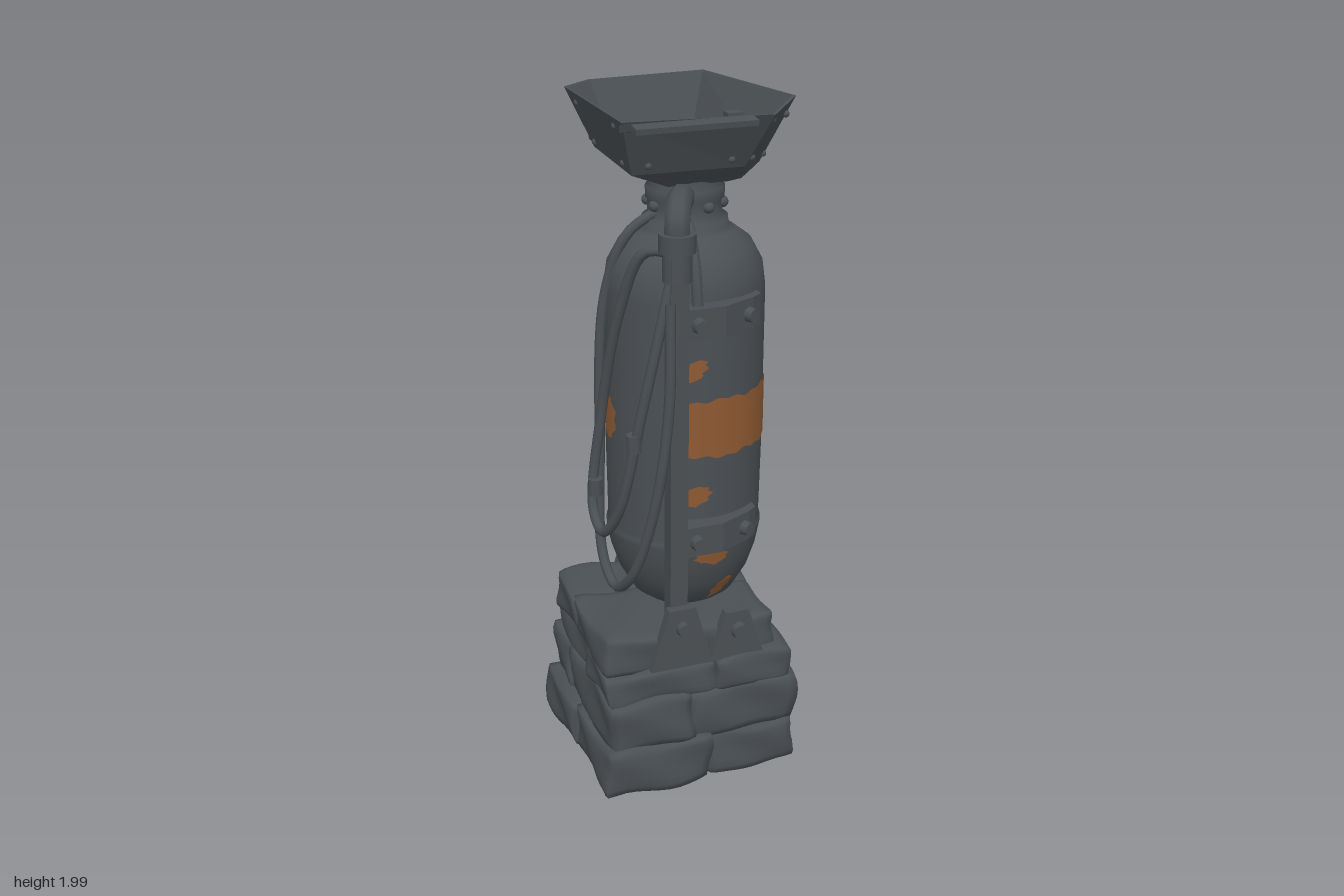
import * as THREE from 'three';
import { mergeVertices } from 'three/addons/utils/BufferGeometryUtils.js';

const grey = new THREE.MeshStandardMaterial({ color: 0x4b5054, side: THREE.DoubleSide });
grey.name = 'dark grey';
const rust = new THREE.MeshStandardMaterial({ color: 0x8e5a33, side: THREE.DoubleSide });
rust.name = 'rust orange';
const TX = 0.052, TZ = 0.012, OVAL = 0.96; // tank axis, and depth to width

export function createModel() {
  const model = new THREE.Group();
  model.name = 'tankOnStoneBase';

  const add = (name, geo, x = 0, y = 0, z = 0, mat = grey) => {
    const m = new THREE.Mesh(geo, mat);
    m.name = name;
    m.position.set(x, y, z);
    model.add(m);
    return m;
  };
  const box = (name, x0, x1, y0, y1, z0, z1) =>
    add(name, new THREE.BoxGeometry(x1 - x0, y1 - y0, z1 - z0), (x0 + x1) / 2, (y0 + y1) / 2, (z0 + z1) / 2);
  const tube = (name, r, pts) => add(name, new THREE.TubeGeometry(
    new THREE.CatmullRomCurve3(pts.map(p => new THREE.Vector3(...p))), pts.length * 8, r, 8));
  const ball = (name, r, x, y, z) => add(name, new THREE.SphereGeometry(r, 12, 8), x, y, z);
  const bolt = (x, y, z, r = 0.024, turn = 0) => {
    const g = new THREE.CylinderGeometry(r * 0.8, r, 0.03, 8);
    g.rotateX(z > 0 ? Math.PI / 2 : -Math.PI / 2);
    add('bolt', g, x, y, z).rotation.y = turn;
  };
  const outline = pts => new THREE.Shape(pts.map(p => new THREE.Vector2(...p)));

  // Stone base: four courses of worn blocks with staggered joints
  const stone = (x0, x1, y0, y1, z0, z1, seed) => {
    const half = [(x1 - x0) / 2, (y1 - y0) / 2, (z1 - z0) / 2];
    let g = new THREE.BoxGeometry(half[0] * 2, half[1] * 2, half[2] * 2, 10, 6, 10);
    g.deleteAttribute('normal');
    g.deleteAttribute('uv');
    g = mergeVertices(g);
    const p = g.attributes.position, v = new THREE.Vector3(), c = new THREE.Vector3(), r = 0.018;
    for (let i = 0; i < p.count; i++) {
      v.fromBufferAttribute(p, i);
      c.set(...half.map((h, k) => THREE.MathUtils.clamp(v.getComponent(k), r - h, h - r)));
      v.sub(c).setLength(r).add(c);
      v.x += 0.007 * Math.sin(v.y * 31 + v.z * 17 + seed * 2.1);
      v.y += 0.006 * Math.sin(v.x * 23 + v.z * 19 + seed * 3.7);
      v.z += 0.007 * Math.sin(v.y * 29 + v.x * 21 + seed * 1.3);
      p.setXYZ(i, v.x, v.y, v.z);
    }
    g.computeVertexNormals();
    add('stone', g, (x0 + x1) / 2, (y0 + y1) / 2, (z0 + z1) / 2);
  };
  // y range, x range, z range, x joint, z joint
  const courses = [
    [0.007, 0.16, -0.306, 0.306, -0.257, 0.322, 0.02, 0.05],
    [0.148, 0.31, -0.288, 0.304, -0.248, 0.31, -0.03, -0.06],
    [0.295, 0.4, -0.278, 0.275, -0.232, 0.302, 0.05, 0.1],
    [0.385, 0.508, -0.28, 0.248, -0.215, 0.278, -0.02, 0],
  ];
  courses.forEach(([y0, y1, x0, x1, z0, z1, sx, sz], k) => {
    [[x0, sx + 0.008], [sx - 0.008, x1]].forEach(([xa, xb], i) => {
      const split = sz + (i ? 0.05 : -0.03);
      [[z0, split + 0.008], [split - 0.008, z1]].forEach(([za, zb], j) => {
        const s = k * 4 + i * 2 + j + 1, o = 0.008 * Math.sin(s * 4.3);
        stone(xa + (i ? 0 : o), xb + (i ? o : 0), y0, y1 + o * 0.6, za + (j ? 0 : o), zb + (j ? o : 0), s);
      });
    });
  });
  box('baseCore', -0.235, 0.225, 0.02, 0.49, -0.19, 0.25);

  // Tank
  const profile = [[0, 0.49], [0.11, 0.495], [0.155, 0.53], [0.195, 0.6], [0.218, 0.67], [0.229, 0.73],
    [0.229, 0.745], [0.224, 0.755], [0.228, 1.0], [0.228, 1.46], [0.219, 1.53], [0.187, 1.59], [0.14, 1.625],
    [0.122, 1.635], [0.12, 1.66], [0.104, 1.668], [0.104, 1.71], [0.11, 1.715], [0.11, 1.745], [0.1, 1.75], [0.1, 1.79]];
  const tank = new THREE.LatheGeometry(profile.map(p => new THREE.Vector2(...p)), 56);
  add('tank', tank.scale(1, 1, OVAL), TX, 0, TZ);
  const radiusAt = y => {
    const i = Math.max(1, profile.findIndex(p => p[1] >= y));
    const [r0, y0] = profile[i - 1], [r1, y1] = profile[i];
    return r0 + (r1 - r0) * (y - y0) / (y1 - y0);
  };
  for (let i = 0; i < 8; i++) {
    const a = i * Math.PI / 4 + 0.3;
    ball('neckBolt', 0.016, TX + 0.105 * Math.sin(a), 1.7, TZ + 0.102 * Math.cos(a));
  }

  // Worn paint that hugs the tank
  const paint = (name, a0, a1, y0, y1, round, lean = 0) => {
    const g = new THREE.PlaneGeometry(1, 1, 56, 10), p = g.attributes.position;
    for (let i = 0; i < p.count; i++) {
      const u = p.getX(i), v = p.getY(i);
      const wide = round ? Math.sqrt(Math.max(0, 1 - 3.6 * v * v)) : 1;
      const a = (a0 + a1) / 2 + u * (a1 - a0) * wide + lean * v + 0.03 * Math.sin(v * 17 + a0);
      const y = (y0 + y1) / 2 + v * (y1 - y0) + 0.007 * v * (Math.sin(a * 9) + Math.sin(a * 23));
      const r = radiusAt(y) + 0.003;
      p.setXYZ(i, r * Math.sin(a), y, r * Math.cos(a) * OVAL);
    }
    g.computeVertexNormals();
    add(name, g, TX, 0, TZ, rust);
  };
  paint('paintBand', -0.4, 2.52, 1.02, 1.19, false, 0.12);
  paint('paintPatch', -1.74, -1.36, 1.03, 1.16, true);
  paint('paintPatch', -0.36, -0.1, 1.245, 1.315, true, 0.16);
  paint('paintPatch', -0.36, -0.02, 0.87, 0.935, true, 0.1);
  paint('paintPatch', -0.2, 0.24, 0.68, 0.725, true);
  paint('paintPatch', 0.15, 0.42, 0.54, 0.61, true, 0.2);

  // Gauge plate on the side of the tank
  add('sidePlate', new THREE.CylinderGeometry(0.236, 0.236, 0.155, 12, 1, false, 1.44, 0.69), TX, 1.125, TZ);

  // Front post with wrapped clamps, and back post
  box('frontPost', -0.088, -0.036, 0.42, 1.62, 0.225, 0.275);
  box('backPost', -0.025, 0.035, 0.42, 1.5, -0.262, -0.205);
  const clamp = outline([[-0.04, -0.275], [-0.04, -0.15], [0.2, -0.14], [0.2, -0.205], [0.17, -0.228], [0.07, -0.275]]);
  [0.785, 1.43].forEach(y => {
    const g = new THREE.ExtrudeGeometry(clamp, { depth: 0.09, bevelEnabled: false });
    add('frontClamp', g.rotateX(-Math.PI / 2), 0, y - 0.045, 0);
    bolt(-0.008, y, 0.285);
    bolt(0.155, y, 0.242, 0.024, 0.45);
  });
  [0.55, 1.43].forEach(y => bolt(0.005, y, -0.272));
  bolt(0.005, 1.09, -0.27, 0.018);

  // Trapezoid foot brackets
  const foot = (x, z, w, top, y0, y1) => add('footBracket', new THREE.ExtrudeGeometry(
    outline([[-w, y0], [w, y0], [top, y1], [-top, y1]]), { depth: 0.03, bevelEnabled: false }), x, 0, z);
  foot(-0.06, 0.27, 0.095, 0.04, 0.4, 0.59);
  foot(0.11, 0.268, 0.085, 0.035, 0.4, 0.55);
  foot(0.005, -0.273, 0.095, 0.035, 0.4, 0.59);
  bolt(-0.06, 0.53, 0.303);
  bolt(0.115, 0.49, 0.303, 0.028);
  bolt(0.005, 0.47, -0.28);

  // Elbow pipe into the neck
  add('pipeCollar', new THREE.CylinderGeometry(0.05, 0.05, 0.05, 16), -0.06, 1.655, 0.245);
  add('pipeSleeve', new THREE.CylinderGeometry(0.04, 0.04, 0.1, 16), -0.06, 1.6, 0.245);
  tube('elbowPipe', 0.036, [[-0.06, 1.64, 0.245], [-0.058, 1.71, 0.24], [-0.035, 1.74, 0.19], [0, 1.74, 0.12], [0.03, 1.72, 0.05]]);

  // Hoses on the right flank and over the shoulder
  tube('hose', 0.015, [[-0.06, 1.62, 0.22], [-0.13, 1.62, 0.19], [-0.18, 1.45, 0.13], [-0.215, 1.1, 0.05],
    [-0.245, 0.84, 0.06], [-0.24, 0.79, 0.13], [-0.215, 0.88, 0.2], [-0.16, 1.2, 0.25], [-0.105, 1.46, 0.26], [-0.07, 1.6, 0.25]]);
  tube('hose', 0.015, [[-0.02, 1.69, 0.03], [-0.12, 1.63, 0.03], [-0.18, 1.45, 0.0], [-0.205, 1.0, 0.01],
    [-0.215, 0.68, 0.05], [-0.205, 0.61, 0.13], [-0.185, 0.68, 0.22], [-0.14, 0.9, 0.28], [-0.1, 1.2, 0.29], [-0.09, 1.5, 0.275]]);
  tube('shoulderHose', 0.016, [[0.01, 1.7, 0.09], [0.005, 1.67, 0.16], [0, 1.58, 0.22], [0, 1.43, 0.25]]);
  [[-0.235, 0.9, 0.055], [-0.182, 1.1, 0.238]].forEach(p =>
    add('hoseCoupling', new THREE.CylinderGeometry(0.022, 0.022, 0.05, 8), ...p));

  // Hoses at the back: two from the neck, one short length off the post
  tube('backHose', 0.017, [[0.06, 1.76, -0.08], [0.06, 1.74, -0.15], [0.08, 1.64, -0.21], [0.11, 1.45, -0.255],
    [0.14, 1.2, -0.26], [0.17, 1.05, -0.28], [0.195, 0.88, -0.295], [0.205, 0.69, -0.3]]);
  tube('backHose', 0.013, [[0.1, 1.68, -0.08], [0.13, 1.62, -0.16], [0.15, 1.45, -0.225], [0.175, 1.2, -0.245],
    [0.17, 1.0, -0.265], [0.165, 0.87, -0.275]]);
  add('backHoseRing', new THREE.TorusGeometry(0.036, 0.012, 8, 16), 0.17, 1.08, -0.275).rotation.y = 0.6;
  add('backHoseEnd', new THREE.CylinderGeometry(0.022, 0.022, 0.08, 8), 0.2, 0.79, -0.298);
  ball('backHoseKnot', 0.03, 0.11, 1.44, -0.255);
  tube('postHose', 0.015, [[0.01, 0.74, -0.265], [0.04, 0.68, -0.295], [0.1, 0.57, -0.312], [0.15, 0.48, -0.322], [0.165, 0.42, -0.325]]);

  // Faceted hopper: loops run up the outside, over the lip and down the inside
  const rim = [[-0.205, -0.25], [-0.12, -0.3], [0.23, -0.3], [0.308, 0.16], [0.21, 0.25], [-0.205, 0.23]];
  const mid = [[-0.14, -0.19], [-0.085, -0.23], [0.17, -0.23], [0.22, 0.13], [0.16, 0.17], [-0.155, 0.16]];
  const low = [[-0.04, -0.08], [-0.03, -0.1], [0.15, -0.1], [0.19, 0.08], [0.14, 0.1], [-0.03, 0.1]];
  const rimY = [1.98, 1.985, 1.99, 1.995, 1.97, 1.975];
  const inset = (l, k) => l.map(([x, z]) => [0.04 + (x - 0.04) * k, -0.02 + (z + 0.02) * k]);
  const loops = [[low, 1.765], [mid, 1.82], [rim, 0], [inset(rim, 0.97), 0], [inset(mid, 0.96), 1.832], [inset(low, 0.9), 1.78]];
  const pos = [], idx = [], n = rim.length;
  loops.forEach(([l, y]) => l.forEach(([x, z], i) => pos.push(x, y || rimY[i], z)));
  for (let k = 0; k < loops.length - 1; k++) for (let i = 0; i < n; i++) {
    const a = k * n + i, b = k * n + (i + 1) % n;
    idx.push(a, a + n, b + n, a, b + n, b);
  }
  const last = (loops.length - 1) * n;
  for (let i = 1; i < n - 1; i++) idx.push(0, i, i + 1, last, last + i + 1, last + i);
  let hopper = new THREE.BufferGeometry();
  hopper.setAttribute('position', new THREE.Float32BufferAttribute(pos, 3));
  hopper.setIndex(idx);
  hopper = hopper.toNonIndexed();
  hopper.computeVertexNormals();
  add('hopper', hopper);

  // Bent front flap and torn tab on the rim
  const flap = outline([[-0.21, 1.965], [-0.3, 1.985], [-0.34, 1.98], [-0.338, 1.965], [-0.3, 1.968], [-0.21, 1.945]]);
  add('frontFlap', new THREE.ExtrudeGeometry(flap, { depth: 0.328, bevelEnabled: false }), -0.205).rotation.y = Math.PI / 2;
  box('flapTab', 0.08, 0.125, 1.95, 1.98, 0.205, 0.24);
  // Rivets around the hopper walls
  for (let i = 0; i < n; i++) for (const t of [0.15, 0.85]) {
    const j = (i + 1) % n, at = (l, k) => l[i][k] + (l[j][k] - l[i][k]) * t;
    for (const h of [0.15, 0.8])
      ball('hopperRivet', 0.01, at(mid, 0) + (at(rim, 0) - at(mid, 0)) * h, 1.82 + 0.163 * h,
        at(mid, 1) + (at(rim, 1) - at(mid, 1)) * h);
  }
  return model;
}
